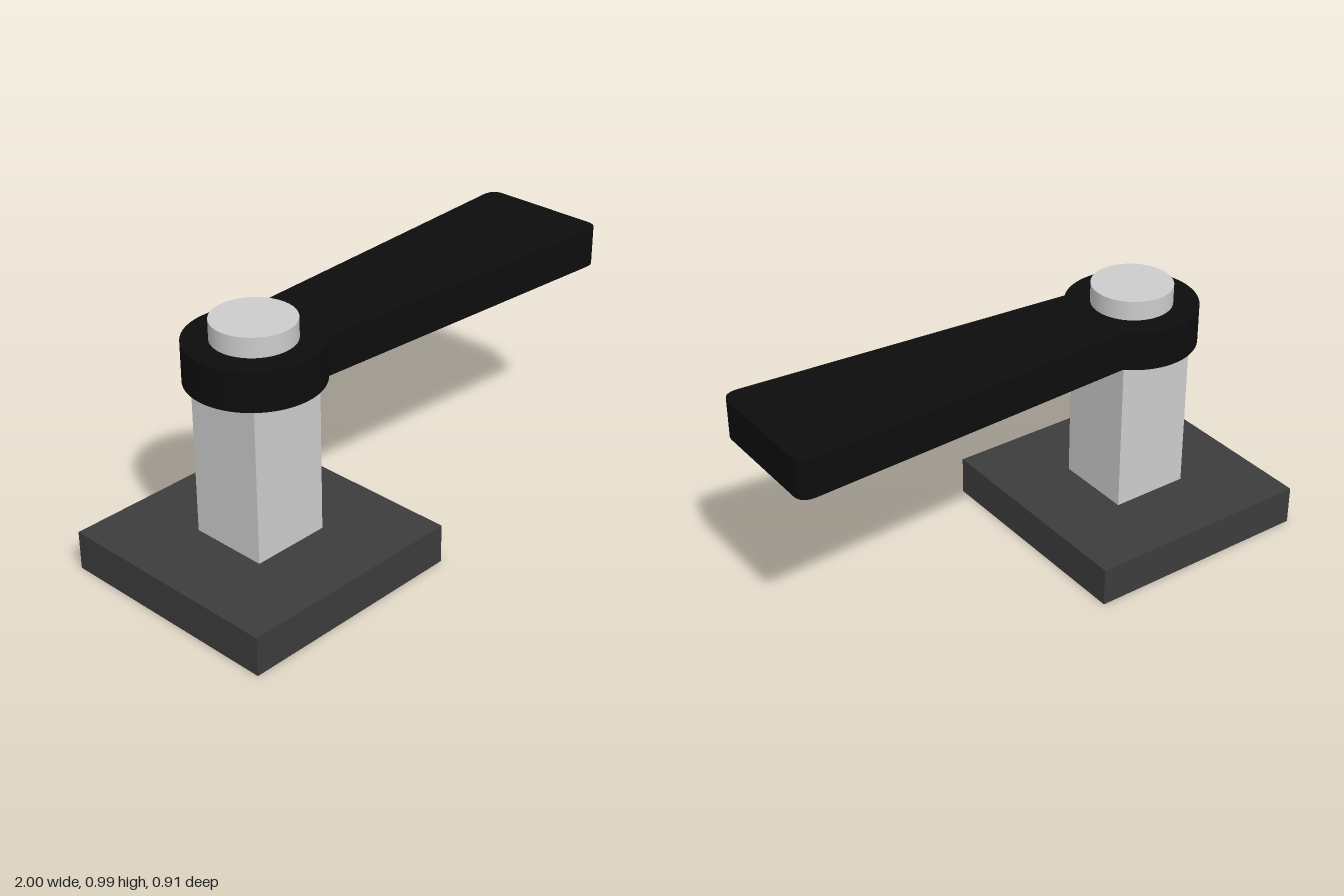
import * as THREE from 'three';
import { toCreasedNormals } from 'three/addons/utils/BufferGeometryUtils.js';

const material = (name, color) =>
  new THREE.MeshStandardMaterial({ name, color, side: THREE.DoubleSide });

// Thin pressed shell: flat top plate plus side walls, open underneath.
// The outline is drawn counterclockwise in (x, -z).
function shell(name, outline, bottom, top, mat) {
  const group = new THREE.Group();
  group.name = name;

  const plate = new THREE.ShapeGeometry(outline, 32);
  plate.rotateX(-Math.PI / 2);
  plate.translate(0, top, 0);

  const pts = outline.getPoints(32);
  const pos = [];
  pts.forEach((a, i) => {
    const b = pts[(i + 1) % pts.length];
    if (a.distanceTo(b) < 1e-5) return;
    pos.push(a.x, bottom, -a.y, b.x, bottom, -b.y, b.x, top, -b.y);
    pos.push(a.x, bottom, -a.y, b.x, top, -b.y, a.x, top, -a.y);
  });
  let walls = new THREE.BufferGeometry();
  walls.setAttribute('position', new THREE.Float32BufferAttribute(pos, 3));
  walls = toCreasedNormals(walls, 0.5);

  [['Top', plate], ['Walls', walls]].forEach(([part, geometry]) => {
    const mesh = new THREE.Mesh(geometry, mat);
    mesh.name = name + part;
    group.add(mesh);
  });
  return group;
}

function square(cx, half, PathType = THREE.Shape) {
  const s = new PathType();
  s.moveTo(cx - half, -half);
  s.lineTo(cx + half, -half);
  s.lineTo(cx + half, half);
  s.lineTo(cx - half, half);
  s.closePath();
  return s;
}

export function createModel() {
  const model = new THREE.Group();
  model.name = 'leverHandle';
  const darkGrey = material('darkGrey', 0x3c3c3c);
  const lightGrey = material('lightGrey', 0xcccccc);
  const black = material('black', 0x0d0d0d);
  const cx = -0.545;

  // Hollow base with a square opening into the post
  const baseOutline = square(cx, 0.455);
  baseOutline.holes.push(square(cx, 0.155, THREE.Path));
  model.add(shell('base', baseOutline, 0, 0.152, darkGrey));

  // Hollow square post
  model.add(shell('post', square(cx, 0.155), 0.152, 0.764, lightGrey));

  // Round pin through the lever
  const pin = new THREE.Mesh(new THREE.CylinderGeometry(0.153, 0.153, 0.226, 64), lightGrey);
  pin.name = 'pin';
  pin.position.set(cx, 0.877, 0);
  model.add(pin);

  // Lever: round hub, narrow neck and flared grip with rounded corners
  const lever = new THREE.Shape();
  lever.moveTo(-0.37, -0.177);
  lever.lineTo(0.935, -0.28);
  lever.quadraticCurveTo(1, -0.283, 1, -0.22);
  lever.lineTo(1, 0.19);
  lever.quadraticCurveTo(1, 0.242, 0.94, 0.24);
  lever.lineTo(-0.37, 0.177);
  lever.absarc(cx, 0, 0.249, 0.791, Math.PI * 2 - 0.791, false);
  lever.closePath();
  model.add(shell('lever', lever, 0.764, 0.915, black));

  return model;
}
